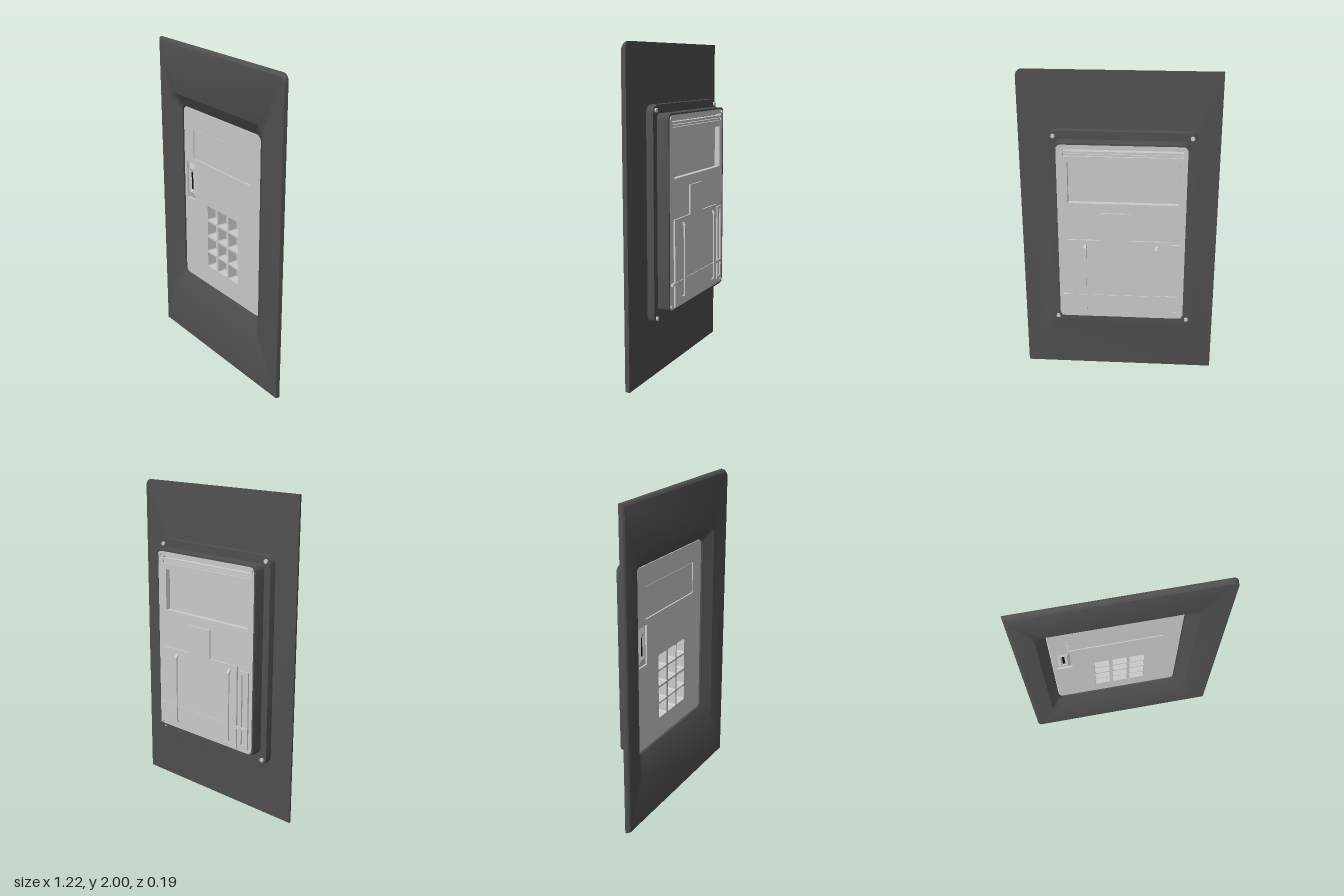
import * as THREE from 'three';
import { toCreasedNormals } from 'three/addons/utils/BufferGeometryUtils.js';

const grey = new THREE.MeshStandardMaterial({ color: 0xcccccc });
const dark = new THREE.MeshStandardMaterial({ color: 0x505050 });
const black = new THREE.MeshStandardMaterial({ color: 0x111111 });

// Rounded rectangle, counter-clockwise; r is one radius or four [bl, br, tr, tl]
function roundedRect(x0, x1, y0, y1, r = 0, steps = 5) {
  const rs = Array.isArray(r) ? r : [r, r, r, r];
  const corners = [[x0, y0, 1, 1], [x1, y0, -1, 1], [x1, y1, -1, -1], [x0, y1, 1, -1]];
  const points = [];
  corners.forEach(([x, y, sx, sy], c) => {
    for (let i = 0; i <= steps; i++) {
      const a = Math.PI + (c + i / steps) * Math.PI / 2;
      points.push(new THREE.Vector2(x + rs[c] * (sx + Math.cos(a)), y + rs[c] * (sy + Math.sin(a))));
    }
  });
  return points;
}

// Skin through a series of rounded rectangles [x0, x1, y0, y1, z, r]
function loft(sections) {
  const rings = sections.map(([x0, x1, y0, y1, z, r]) =>
    roundedRect(x0, x1, y0, y1, r).map(p => [p.x, p.y, z]));
  const n = rings[0].length;
  const index = [];
  for (let s = 0; s < rings.length - 1; s++) {
    for (let k = 0; k < n; k++) {
      const a = s * n + k, b = s * n + (k + 1) % n;
      index.push(a, a + n, b + n, a, b + n, b);
    }
  }
  const g = new THREE.BufferGeometry();
  g.setAttribute('position', new THREE.Float32BufferAttribute(rings.flat(2), 3));
  g.setIndex(index);
  return toCreasedNormals(g, 0.5);
}

// Flat plate between z0 and z1 with holes given as point lists
function plate(outline, z0, z1, holes = []) {
  const shape = new THREE.Shape(outline);
  holes.forEach(h => shape.holes.push(new THREE.Path(h)));
  const g = new THREE.ExtrudeGeometry(shape, { depth: z1 - z0, bevelEnabled: false });
  return g.translate(0, 0, z0);
}

export function createModel() {
  const model = new THREE.Group();
  const add = (name, geometry, material = grey, parent = model) => {
    const mesh = new THREE.Mesh(geometry, material);
    mesh.name = name;
    parent.add(mesh);
    return mesh;
  };
  const box = (name, x0, x1, y0, y1, z0, z1, material = grey, parent = model) =>
    add(name, new THREE.BoxGeometry(x1 - x0, y1 - y0, z1 - z0)
      .translate((x0 + x1) / 2, (y0 + y1) / 2, (z0 + z1) / 2), material, parent);
  const group = name => {
    const g = new THREE.Group();
    g.name = name;
    model.add(g);
    return g;
  };

  // Dark surround: recess, face, sloped back and stepped rear housing in one skin
  add('surround', loft([
    [-0.42, 0.37, 0.43, 1.6, 0.03, 0.035],
    [-0.42, 0.37, 0.43, 1.6, 0.05, 0.035],
    [-0.48, 0.44, 0.32, 1.68, 0.095, 0.04],
    [-0.592, 0.61, 0.004, 1.982, 0.095, [0, 0, 0.04, 0.005]],
    [-0.604, 0.61, 0.001, 1.995, 0.087, [0, 0, 0.04, 0.003]],
    [-0.61, 0.61, 0, 2, 0.075, [0, 0, 0.04, 0]],
    [-0.61, 0.61, 0, 2, 0.067, [0, 0, 0.04, 0]],
    [-0.47, 0.42, 0.36, 1.65, 0.045, 0.05],
    [-0.47, 0.42, 0.36, 1.65, 0, 0.05],
    [-0.425, 0.375, 0.43, 1.6, 0, 0.035],
    [-0.425, 0.375, 0.43, 1.6, -0.075, 0.035],
    [-0.415, 0.365, 0.44, 1.59, -0.075, 0.03],
    [-0.415, 0.365, 0.44, 1.59, -0.06, 0.03],
  ]), dark);

  // Front plate with keypad wells, display opening and card pocket
  const holes = [];
  for (const x of [-0.116, -0.003, 0.107]) {
    for (const y of [0.945, 0.836, 0.725, 0.618]) {
      holes.push(roundedRect(x - 0.049, x + 0.049, y - 0.049, y + 0.049, 0.01, 3));
    }
  }
  holes.push(roundedRect(-0.312, 0.26, 1.268, 1.468, 0, 1));
  holes.push(roundedRect(-0.39, -0.298, 0.985, 1.235, 0, 1));
  add('frontPlate', plate(roundedRect(-0.415, 0.365, 0.437, 1.592, 0.03), -0.02, 0.042, holes));
  add('core', plate(roundedRect(-0.42, 0.37, 0.435, 1.595, 0.03), -0.04, -0.02));
  box('displayPane', -0.308, 0.256, 1.272, 1.464, -0.02, 0.038);

  // Card reader: tapered pocket with a dark slot
  const reader = group('cardReader');
  box('readerFloor', -0.39, -0.298, 0.985, 1.235, -0.02, 0.03, grey, reader);
  add('readerBezel', loft([
    [-0.352, -0.338, 1.05, 1.165, 0.032, 0],
    [-0.362, -0.322, 1.03, 1.19, 0.04, 0],
    [-0.378, -0.305, 0.995, 1.225, 0.03, 0],
  ]), grey, reader);
  box('readerSlot', -0.352, -0.338, 1.05, 1.165, 0.02, 0.034, black, reader);

  // Rear cover with display recess and two long slots
  add('rearCover', plate(roundedRect(-0.415, 0.365, 0.44, 1.59, 0.03), -0.073, -0.04, [
    roundedRect(-0.37, 0.3, 1.22, 1.48, 0, 1),
    roundedRect(-0.39, 0.325, 1.55, 1.562, 0, 1),
    roundedRect(-0.39, 0.325, 1.518, 1.536, 0, 1),
  ]));
  box('slotStrip', -0.385, 0.32, 1.52, 1.532, -0.068, -0.04);

  // Rear board with its upper tab, a cross rib and a side channel
  const board = [[-0.3, 0.45], [0.31, 0.45], [0.31, 0.98], [0.1, 0.98],
    [0.1, 1.16], [-0.08, 1.16], [-0.08, 0.98], [-0.3, 0.98]].map(p => new THREE.Vector2(...p));
  add('rearBoard', plate(board, -0.083, -0.07));
  box('rearRib', -0.39, 0.345, 0.585, 0.602, -0.087, -0.07);
  add('sideChannel', plate(roundedRect(-0.388, -0.325, 0.47, 0.96, 0, 1), -0.083, -0.07,
    [roundedRect(-0.375, -0.338, 0.49, 0.94, 0, 1)]));

  // Two bent guide bars
  const bar = [[-0.08, 0.955], [-0.098, 0.93], [-0.1, 0.5], [-0.08, 0.49],
    [-0.08, 0.5], [-0.092, 0.508], [-0.09, 0.925], [-0.08, 0.94]]
    .map(([z, y]) => new THREE.Vector2(-z, y));
  for (const x of [0.2, -0.24]) {
    add('guideBar', plate(bar, -0.009, 0.009).rotateY(Math.PI / 2).translate(x, 0, 0));
  }

  // Screws on the ledge and on the rear cover
  const screw = (name, x, y, z, r) =>
    add(name, new THREE.CylinderGeometry(r, r, 0.014, 12).rotateX(Math.PI / 2).translate(x, y, z));
  for (const side of [-1, 1]) {
    for (const end of [-1, 1]) {
      screw('ledgeScrew', -0.025 + side * 0.415, 1.007 + end * 0.612, -0.003, 0.013);
      screw('coverScrew', -0.025 + side * 0.372, 1.015 + end * 0.557, -0.074, 0.011);
    }
  }
  return model;
}
